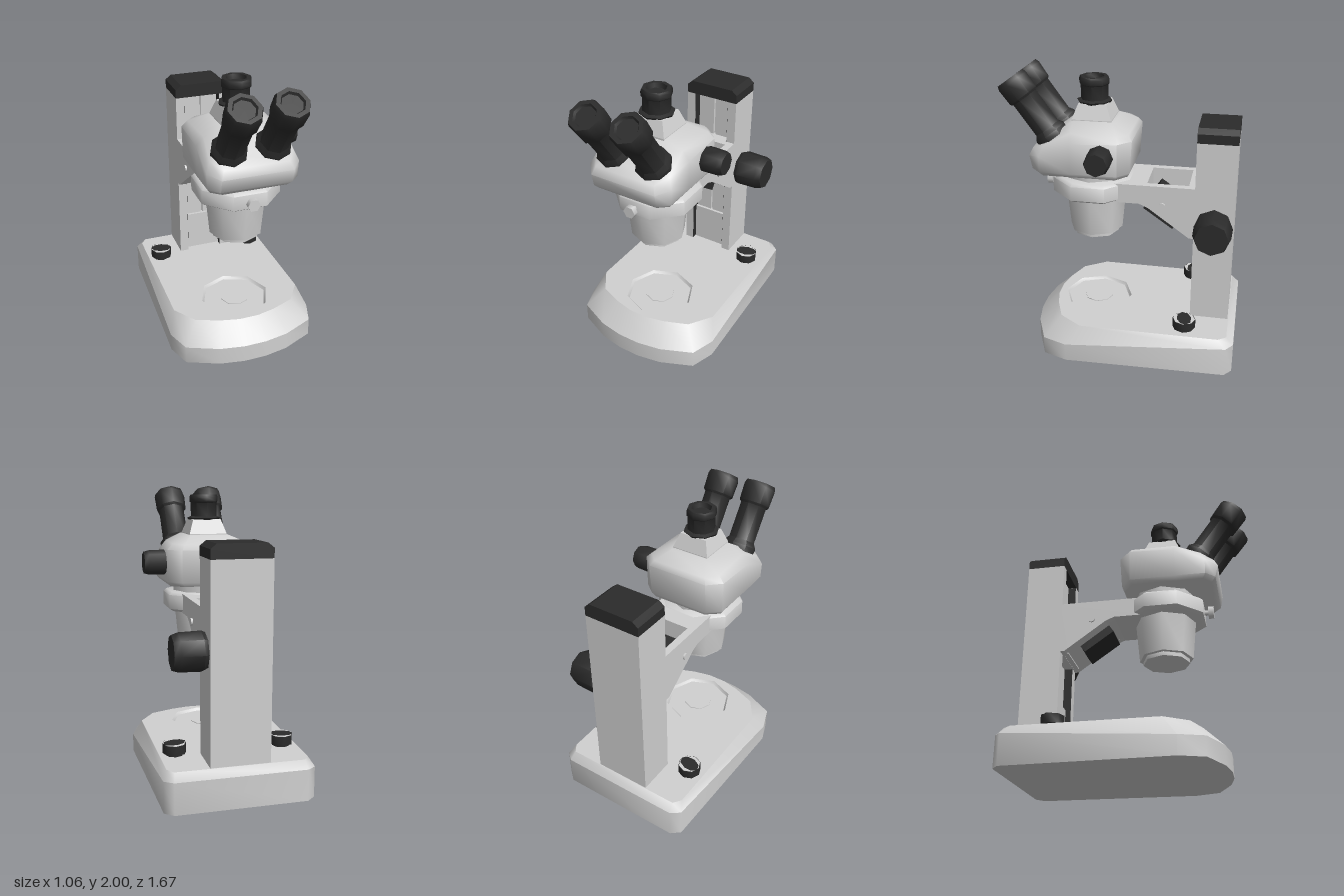
import * as THREE from 'three';
import { toCreasedNormals } from 'three/addons/utils/BufferGeometryUtils.js';

const paint = (name, color) => {
  const m = new THREE.MeshStandardMaterial({ color });
  m.name = name;
  return m;
};

// Lathe with few sides: smooth round the axis, sharp at strong steps
const lathe = (pts, sides = 8) =>
  toCreasedNormals(new THREE.LatheGeometry(pts.map(p => new THREE.Vector2(...p)), sides), 0.85);

// Extrude a (z, y) side profile across x
function sideExtrude(pts, x0, x1) {
  const shape = new THREE.Shape(pts.map(p => new THREE.Vector2(...p)));
  const g = new THREE.ExtrudeGeometry(shape, { depth: x1 - x0, bevelEnabled: false });
  return g.rotateY(-Math.PI / 2).translate(x1, 0, 0);
}

// Box given by its limits
const box = (x0, x1, y0, y1, z0, z1) =>
  new THREE.BoxGeometry(x1 - x0, y1 - y0, z1 - z0)
    .translate((x0 + x1) / 2, (y0 + y1) / 2, (z0 + z1) / 2);

// Mirror a half outline of [x, y, z], running from back to front on +x
const ring = half => [...half, ...half.map(([x, y, z]) => [-x, y, z]).reverse()];

// Skin stacked rings, with optional end caps
function loft(halves, crease, capBottom, capTop) {
  const rings = halves.map(ring), n = rings[0].length, pos = [];
  const quad = (a, b, c, d) => pos.push(...a, ...b, ...c, ...a, ...c, ...d);
  for (let r = 0; r + 1 < rings.length; r++) {
    const a = rings[r], b = rings[r + 1];
    for (let i = 0; i < n; i++) {
      const j = (i + 1) % n;
      quad(a[i], b[i], b[j], a[j]);
    }
  }
  const bottom = rings[0], top = rings[rings.length - 1];
  for (let i = 0; i + 1 < n / 2; i++) {
    if (capTop) quad(top[i], top[n - 1 - i], top[n - 2 - i], top[i + 1]);
    if (capBottom) quad(bottom[i], bottom[i + 1], bottom[n - 2 - i], bottom[n - 1 - i]);
  }
  const g = new THREE.BufferGeometry();
  g.setAttribute('position', new THREE.Float32BufferAttribute(pos, 3));
  return toCreasedNormals(g, crease);
}

export function createModel() {
  const grey = paint('light grey', 0xd0d0d0);
  const black = paint('black plastic', 0x2b2b2b);

  const model = new THREE.Group();
  const add = (name, geo, mat, x = 0, y = 0, z = 0) => {
    const m = new THREE.Mesh(geo, mat);
    m.name = name;
    m.position.set(x, y, z);
    model.add(m);
    return m;
  };

  // Base: upright sides and a sloped shoulder, higher at the back
  const foot = [[0.44, -0.835], [0.5, -0.785], [0.53, 0.335], [0.47, 0.505], [0.25, 0.6], [0.08, 0.63]];
  const deck = [[0.43, -0.785], [0.47, -0.73], [0.475, 0.24], [0.365, 0.4], [0.2, 0.465], [0.07, 0.495]];
  const shoulder = z => 0.13 + 0.085 * Math.max(0, (0.335 - z) / 1.17);
  const footRing = foot.map(([x, z]) => [x, 0, z]);
  const midRing = foot.map(([x, z]) => [x, shoulder(z), z]);
  const deckRing = deck.map(([x, z]) => [x, 0.265, z]);
  add('baseSides', loft([footRing, midRing], 0.95, true, false), grey);
  add('baseShoulder', loft([midRing, deckRing], 0.95, false, false), grey);

  // Deck with the eight-sided stage recess
  const stageZ = 0.2;
  const top = new THREE.Shape(ring(deckRing).map(([x, , z]) => new THREE.Vector2(x, -z)));
  const hole = [];
  for (let i = 0; i < 8; i++) {
    const a = i * Math.PI / 4;
    hole.push(new THREE.Vector2(0.25 * Math.sin(a), 0.25 * Math.cos(a) - stageZ));
  }
  top.holes.push(new THREE.Path(hole));
  add('baseDeck', new THREE.ShapeGeometry(top).rotateX(-Math.PI / 2), grey, 0, 0.265, 0);
  add('stageRecess', lathe([[0.25, 0.265], [0.235, 0.245], [0, 0.245]]), grey, 0, 0, stageZ);
  add('stageDisc', new THREE.CylinderGeometry(0.105, 0.105, 0.006, 8), grey, 0, 0.247, stageZ);

  // Clip knobs on the deck, with a dark bar across a light top
  for (const s of [-1, 1]) {
    add('clipKnob', lathe([[0.06, 0.26], [0.06, 0.275], [0.08, 0.28], [0.08, 0.343], [0, 0.343]]),
      black, s * 0.37, 0, -0.485);
    add('clipKnobTop', new THREE.CylinderGeometry(0.076, 0.076, 0.002, 8), grey, s * 0.37, 0.344, -0.485);
    const bar = add('clipKnobBar', new THREE.CylinderGeometry(0.078, 0.078, 0.003, 8).scale(1, 1, 0.65),
      black, s * 0.37, 0.3455, -0.485);
    bar.rotation.y = s * 0.25;
  }

  // Column: channel section open to the front
  const section = [[-0.2, 0.51], [-0.2, 0.78], [0.2, 0.78], [0.2, 0.51],
    [0.135, 0.51], [0.135, 0.59], [-0.135, 0.59], [-0.135, 0.51]];
  add('column', new THREE.ExtrudeGeometry(
    new THREE.Shape(section.map(p => new THREE.Vector2(...p))), { depth: 1.31, bevelEnabled: false })
    .rotateX(-Math.PI / 2), grey, 0, 0.262, 0);
  add('channelBlock', box(-0.132, 0.132, 0.265, 0.565, -0.595, -0.55), grey);
  for (const s of [-1, 1]) {
    add('channelLiner', box(-0.001, 0.001, 0.265, 1.57, -0.59, -0.512), black, s * 0.134);
    add('channelRail', box(-0.061, 0.061, 0.565, 1.57, -0.595, -0.57), grey, s * 0.069);
  }
  const cap = new THREE.Shape([[-0.2, 1.572], [0.2, 1.572], [0.2, 1.635], [0.16, 1.667], [-0.16, 1.667], [-0.2, 1.635]]
    .map(p => new THREE.Vector2(...p)));
  add('columnCap', new THREE.ExtrudeGeometry(cap, { depth: 0.27, bevelEnabled: false }), black, 0, 0, -0.78);

  // Knobs on the model's left
  const knob = (name, r, len, x, y, z) => {
    const k = add(name, lathe([[0, 0], [r * 0.92, 0], [r, len * 0.12], [r * 0.97, len * 0.8],
      [r * 0.86, len], [0, len]]), black, x, y, z);
    k.rotation.z = -Math.PI / 2;
  };
  knob('focusKnob', 0.132, 0.215, 0.2, 0.99, -0.645);
  knob('zoomKnob', 0.088, 0.165, 0.295, 1.47, 0.11);

  // Focus arm: two cheeks joined by blocks around an open well
  const cheek = [[0.08, 1.25], [0.08, 1.115], [-0.13, 1.115], [-0.19, 1.09], [-0.455, 0.9],
    [-0.48, 0.882], [-0.52, 0.88], [-0.52, 1.25]].reverse();
  for (const s of [-1, 1]) {
    add('armCheek', sideExtrude(cheek, s > 0 ? 0.148 : -0.2, s > 0 ? 0.2 : -0.148), grey);
    const pin = add('armPin', new THREE.CylinderGeometry(0.025, 0.025, 0.02, 8), grey, s * 0.203, 1.11, -0.29);
    pin.rotation.z = Math.PI / 2;
  }
  add('armFront', sideExtrude([[0.08, 1.25], [-0.18, 1.25], [-0.18, 1.095], [-0.13, 1.115], [0.08, 1.115]],
    -0.148, 0.148), grey);
  add('armFloor', sideExtrude([[-0.17, 1.1], [-0.17, 1.115], [-0.19, 1.105], [-0.47, 0.905], [-0.47, 0.889],
    [-0.455, 0.9], [-0.19, 1.09]], -0.148, 0.148), grey);
  add('armBack', box(-0.148, 0.148, 0.882, 1.25, -0.51, -0.465), grey);
  add('carriage', box(-0.125, 0.125, 0.88, 1.25, -0.59, -0.5), grey);
  const lamp = add('lampBox', new THREE.BoxGeometry(0.23, 0.17, 0.25), black, 0, 1.044, -0.301);
  lamp.rotation.x = -0.61;

  // Ring holder, its clamp screw, and the lower optics
  const axisZ = 0.21;
  const holder = add('holderRing', lathe([[0, 1.115], [0.27, 1.115], [0.303, 1.135], [0.303, 1.235],
    [0.28, 1.255], [0, 1.255]]), grey, 0, 0, axisZ);
  holder.rotation.y = Math.PI / 8;
  const hex = (r, len) => new THREE.CylinderGeometry(r, r, len, 6, 1, false, Math.PI / 6).rotateX(Math.PI / 2);
  add('screwShank', hex(0.018, 0.06), grey, 0, 1.187, 0.505);
  add('screwHead', hex(0.044, 0.037), grey, 0, 1.187, 0.538);
  add('collar', new THREE.CylinderGeometry(0.228, 0.228, 0.08, 8), grey, 0, 1.28, axisZ);
  add('objective', lathe([[0, 0.81], [0.165, 0.81], [0.165, 0.838], [0.19, 0.84], [0.218, 1.13], [0, 1.13]]),
    grey, 0, 0, axisZ);

  // Head: rounded housing sloping down to the front
  add('head', loft([
    [[0.2, 1.31, -0.055], [0.285, 1.31, 0.015], [0.285, 1.31, 0.32], [0.285, 1.31, 0.51], [0.22, 1.31, 0.565]],
    [[0.22, 1.34, -0.07], [0.305, 1.34, 0], [0.308, 1.34, 0.32], [0.305, 1.34, 0.53], [0.24, 1.34, 0.595]],
    [[0.22, 1.565, -0.085], [0.31, 1.565, 0], [0.31, 1.55, 0.32], [0.31, 1.45, 0.53], [0.24, 1.43, 0.615]],
    [[0.2, 1.6, -0.06], [0.27, 1.605, 0.01], [0.26, 1.61, 0.32], [0.28, 1.52, 0.5], [0.22, 1.485, 0.59]],
    [[0.13, 1.658, 0.05], [0.14, 1.66, 0.07], [0.15, 1.66, 0.33], [0.19, 1.615, 0.4], [0.17, 1.55, 0.5]],
  ], 1.0, true, true), grey);

  // Camera port on its square pedestal
  add('portPedestal', loft([
    [[0.135, 1.63, 0.07], [0.135, 1.63, 0.34]],
    [[0.135, 1.665, 0.07], [0.135, 1.665, 0.34]],
    [[0.1, 1.765, 0.108], [0.1, 1.765, 0.302]],
  ], 0.3, false, true), grey);
  add('cameraPort', lathe([[0, 1.76], [0.112, 1.76], [0.122, 1.775], [0.095, 1.785], [0.095, 1.88], [0.104, 1.888],
    [0.104, 1.92], [0.097, 1.937], [0.07, 1.937], [0.062, 1.905], [0, 1.905]]),
    black, 0, 0, axisZ);

  // Eyepieces, tilted forward
  for (const s of [-1, 1]) {
    const eye = add('eyepiece', lathe([[0, -0.04], [0.118, -0.04], [0.122, 0.005], [0.097, 0.04], [0.097, 0.29],
      [0.114, 0.305], [0.118, 0.42], [0.108, 0.448], [0.08, 0.448], [0.07, 0.432], [0, 0.432]]),
      black, s * 0.148, 1.57, 0.485);
    eye.rotation.x = 0.625;
  }
  return model;
}
